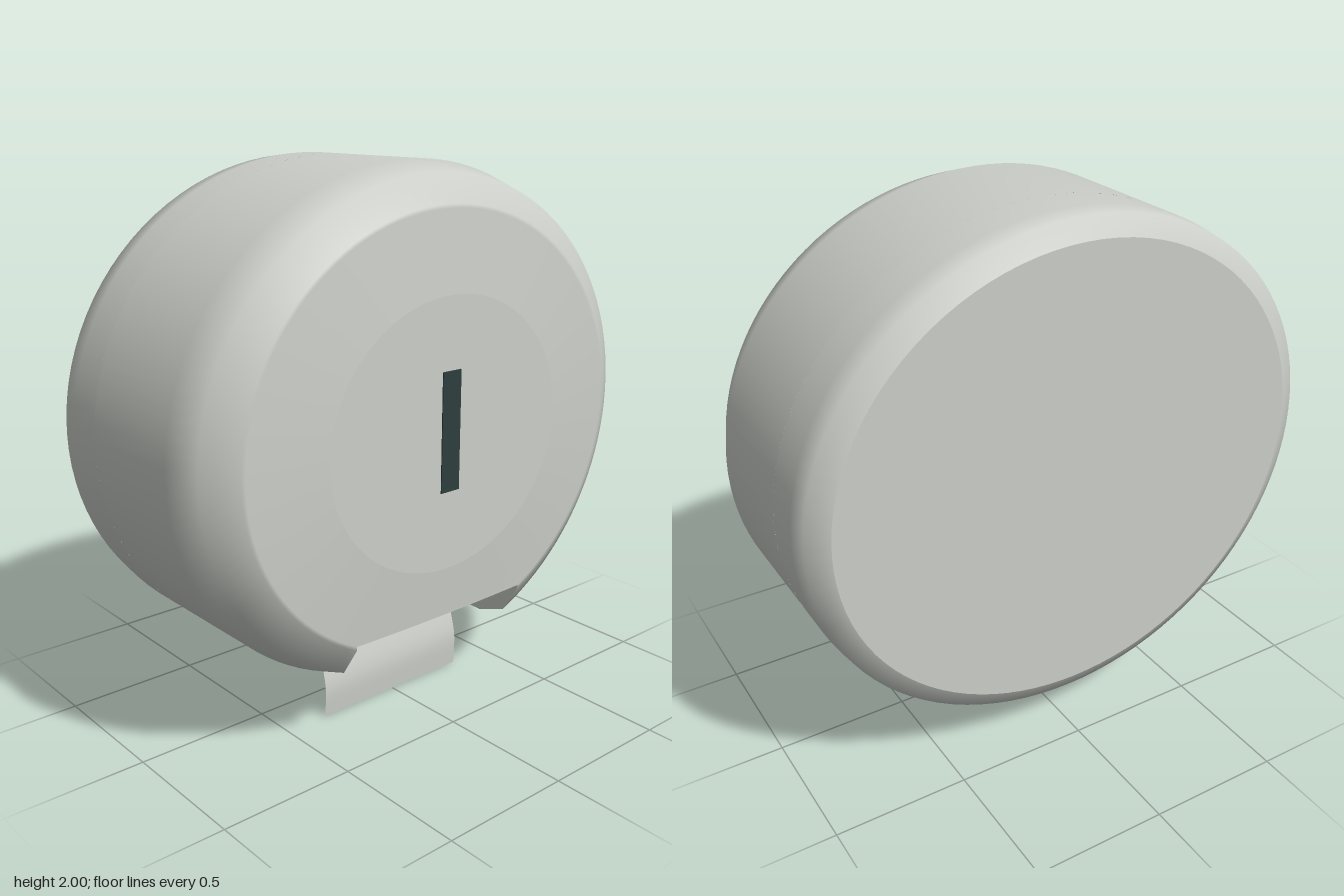
import * as THREE from 'three';

const CY = 1.08, RY = 0.92;             // drum centre height and vertical squash
const NZ = 0.4, NY = 0.405, NX = -0.2;  // notch half width, ceiling and back wall
const K = (CY - NY) / RY;               // drum radius that just reaches the ceiling
const RC = Math.hypot(NZ, K);           // drum radius through the notch corner
const SEG = 96;

const faceX = r => 0.43 + (0.85 - r) * 0.078;
const rear = [[-0.46, 0.915], [-0.42, 0.99], [-0.34, 1], [NX, 1]];
const front = [[NX, 1], [0.24, 1], [0.36, 0.958], [0.43, 0.85],
  ...[RC, 0.81, 0.78, 0.755, 0.74, K, 0.53].map(r => [faceX(r), r])];

// Angle from the bottom at which a ring leaves the notch
const notchAngle = r => r <= K ? 0 : Math.min(Math.asin(NZ / r), Math.acos(K / r));

// Oval skin through rings of [x, radius], open at the notch when asked
function shell(rings, notched) {
  const pos = [], idx = [];
  rings.forEach(([x, r], i) => {
    const a = notched ? notchAngle(r) : 0;
    for (let j = 0; j <= SEG; j++) {
      const t = a + (2 * Math.PI - 2 * a) * j / SEG;
      pos.push(x, CY - RY * r * Math.cos(t), r * Math.sin(t));
      if (i && j) {
        const q = i * (SEG + 1) + j, p = q - SEG - 1;
        idx.push(p - 1, q - 1, q, p - 1, q, p);
      }
    }
  });
  const g = new THREE.BufferGeometry();
  g.setAttribute('position', new THREE.Float32BufferAttribute(pos, 3));
  g.setIndex(idx);
  g.computeVertexNormals();
  // Match normals over the seam of closed rings
  const n = g.attributes.normal;
  rings.forEach(([, r], i) => {
    if (notched && notchAngle(r) > 0) return;
    const a = i * (SEG + 1), b = a + SEG;
    const v = new THREE.Vector3().fromBufferAttribute(n, a)
      .add(new THREE.Vector3().fromBufferAttribute(n, b)).normalize();
    n.setXYZ(a, v.x, v.y, v.z);
    n.setXYZ(b, v.x, v.y, v.z);
  });
  return g;
}

const flat = pts => new THREE.ShapeGeometry(new THREE.Shape(pts.map(p => new THREE.Vector2(...p))));

export function createModel() {
  const group = new THREE.Group();
  const casing = new THREE.MeshStandardMaterial({ color: 0xcbcec8, side: THREE.DoubleSide });
  casing.name = 'light grey';
  const dark = new THREE.MeshStandardMaterial({ color: 0x2e3e3e });
  dark.name = 'dark slate';
  const add = (name, geo, mat = casing) => {
    const m = new THREE.Mesh(geo, mat);
    m.name = name;
    group.add(m);
    return m;
  };

  // Drum casing
  add('rearCasing', shell(rear, false));
  add('frontCasing', shell(front, true));
  const disc = (name, x, r, turn) => add(name, new THREE.CircleGeometry(1, SEG)
    .scale(r, r * RY, 1).rotateY(turn * Math.PI / 2).translate(x, CY, 0));
  disc('backPlate', -0.46, 0.915, -1);
  disc('facePlate', faceX(0.53), 0.53, 1);

  // Notch side walls
  const edge = front.filter(([, r]) => r >= RC)
    .map(([x, r]) => [x, CY - RY * Math.sqrt(r * r - NZ * NZ)]);
  for (const z of [NZ, -NZ]) add('notchSideWall', flat([[NX, NY], ...edge]).translate(0, 0, z));

  // Notch ceiling, following the face at its front edge
  const rim = front.filter(([, r]) => r <= RC && r >= K)
    .map(([x, r]) => [x, Math.sqrt(Math.max(0, r * r - K * K))]);
  const mirrored = rim.slice(0, -1).reverse().map(([x, z]) => [x, z]);
  add('notchCeiling', flat([[NX, -NZ], ...rim.map(([x, z]) => [x, -z]), ...mirrored, [NX, NZ]])
    .rotateX(Math.PI / 2).translate(0, NY, 0));

  // Notch back wall
  const arc = [];
  const a = notchAngle(1);
  for (let j = 0; j <= 16; j++) {
    const t = a * (j / 8 - 1);
    arc.push([Math.sin(t), CY - RY * Math.cos(t)]);
  }
  add('notchBackWall', flat([[-NZ, NY], ...arc, [NZ, NY]])
    .rotateY(Math.PI / 2).translate(NX, 0, 0));

  // Cutter plate with a serrated lip
  add('cutterPlate', new THREE.BoxGeometry(0.05, 0.13, 0.78).translate(-0.174, 0.339, 0), dark);
  const teeth = [[-0.39, 0.285]], count = 40;
  for (let i = 0; i <= count * 2; i++) teeth.push([-0.39 + 0.39 * i / count, i % 2 ? 0.257 : 0.269]);
  teeth.push([0.39, 0.285]);
  add('cutterTeeth', new THREE.ExtrudeGeometry(
    new THREE.Shape(teeth.map(p => new THREE.Vector2(...p))), { depth: 0.02, bevelEnabled: false })
    .rotateY(Math.PI / 2).translate(-0.15, 0, 0), dark);

  // Hanging paper sheet
  const curve = new THREE.CatmullRomCurve3([[0.08, NY], [0.14, 0.23], [0.168, 0.12], [0.165, 0]]
    .map(([x, y]) => new THREE.Vector3(x, y, 0)));
  const sheet = new THREE.PlaneGeometry(0.66, 1, 1, 10).rotateY(Math.PI / 2);
  const p = sheet.attributes.position;
  for (let i = 0; i < p.count; i++) {
    const c = curve.getPoint(0.5 - p.getY(i));
    p.setXYZ(i, c.x, c.y, p.getZ(i));
  }
  sheet.computeVertexNormals();
  add('paperSheet', sheet);

  // Viewing slot on the face
  add('viewingSlot', new THREE.BoxGeometry(0.006, 0.43, 0.084).translate(0.456, 1.095, 0), dark);
  return group;
}
